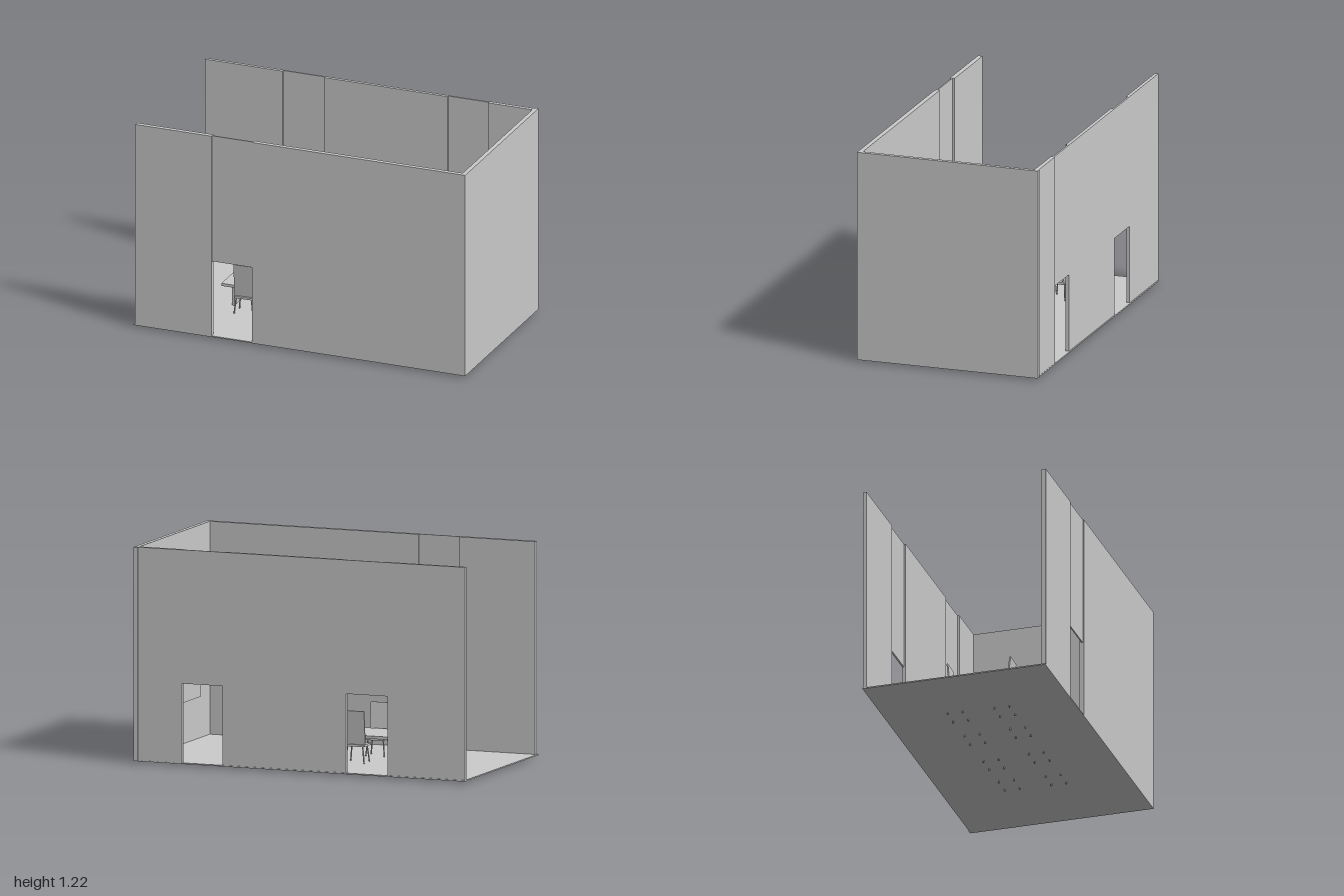
import * as THREE from 'three';

const material = new THREE.MeshStandardMaterial({ color: 0xcccccc, flatShading: true });

// Box given by its lower and upper corners
function block(parent, name, [x0, y0, z0], [x1, y1, z1]) {
  const mesh = new THREE.Mesh(new THREE.BoxGeometry(x1 - x0, y1 - y0, z1 - z0), material);
  mesh.position.set((x0 + x1) / 2, (y0 + y1) / 2, (z0 + z1) / 2);
  mesh.name = name;
  parent.add(mesh);
  return mesh;
}

// Thin round rod between two points
function rod(parent, name, a, b, radius) {
  const from = new THREE.Vector3(...a), to = new THREE.Vector3(...b);
  const dir = to.clone().sub(from);
  const mesh = new THREE.Mesh(new THREE.CylinderGeometry(radius, radius, dir.length(), 8), material);
  mesh.position.copy(from).add(to).multiplyScalar(0.5);
  mesh.quaternion.setFromUnitVectors(new THREE.Vector3(0, 1, 0), dir.normalize());
  mesh.name = name;
  parent.add(mesh);
}

// Chair with its backrest towards +z
function createChair() {
  const chair = new THREE.Group();
  chair.name = 'chair';
  block(chair, 'seat', [-0.058, 0.112, -0.055], [0.058, 0.124, 0.045]);
  const back = block(chair, 'backrest', [-0.058, 0.12, 0.035], [0.058, 0.315, 0.043]);
  back.rotation.x = 0.1;
  for (const side of [-1, 1]) {
    rod(chair, 'frontLeg', [side * 0.045, 0.115, -0.03], [side * 0.058, 0, -0.042], 0.004);
    rod(chair, 'backLeg', [side * 0.045, 0.115, 0.038], [side * 0.058, 0, 0.046], 0.004);
  }
  return chair;
}

export function createModel() {
  const model = new THREE.Group();
  model.name = 'meetingRoom';
  const base = 0.014, top = 1.22, doorTop = 0.465;

  block(model, 'floor', [-1, 0.012, -0.535], [1, 0.019, 0.535]);
  block(model, 'endWall', [0.975, base, -0.54], [1, top, 0.535]);

  // Front wall with one doorway and a recessed panel above it
  block(model, 'frontWall', [-0.99, base, 0.508], [-0.53, top, 0.535]);
  block(model, 'frontWall', [-0.285, base, 0.508], [0.975, top, 0.535]);
  block(model, 'frontLintel', [-0.53, doorTop, 0.52], [-0.285, top, 0.528]);

  // Back wall with two doorways, the panels above flush on the outside
  const doors = [[-0.53, -0.28], [0.465, 0.71]];
  block(model, 'backWall', [-1, base, -0.53], [doors[0][0], top, -0.51]);
  block(model, 'backWall', [doors[0][1], base, -0.53], [doors[1][0], top, -0.51]);
  block(model, 'backWall', [doors[1][1], base, -0.534], [0.975, top, -0.51]);
  for (const [x0, x1] of doors) {
    block(model, 'backLintel', [x0, doorTop, -0.53], [x1, top, -0.52]);
  }

  // Wall screen
  block(model, 'screen', [0.948, 0.26, -0.32], [0.975, 0.62, 0.315]);

  // Long table
  const table = new THREE.Group();
  table.name = 'table';
  block(table, 'tableTop', [-0.632, 0.156, -0.141], [0.62, 0.172, 0.141]);
  for (const x of [-0.59, 0.575]) {
    block(table, 'tableSupport', [x - 0.008, 0.019, -0.07], [x + 0.008, 0.156, 0.07]);
  }
  model.add(table);

  // Four chairs along each side, turned a little off square
  const rows = [
    { side: 1, xs: [-0.485, -0.195, 0.15, 0.46], turn: 0.03 },
    { side: -1, xs: [-0.495, -0.185, 0.165, 0.45], turn: Math.PI + 0.03 },
  ];
  for (const { side, xs, turn } of rows) {
    for (const x of xs) {
      const chair = createChair();
      chair.position.set(x, 0, side * 0.133);
      chair.rotation.y = turn;
      model.add(chair);
    }
  }
  return model;
}
